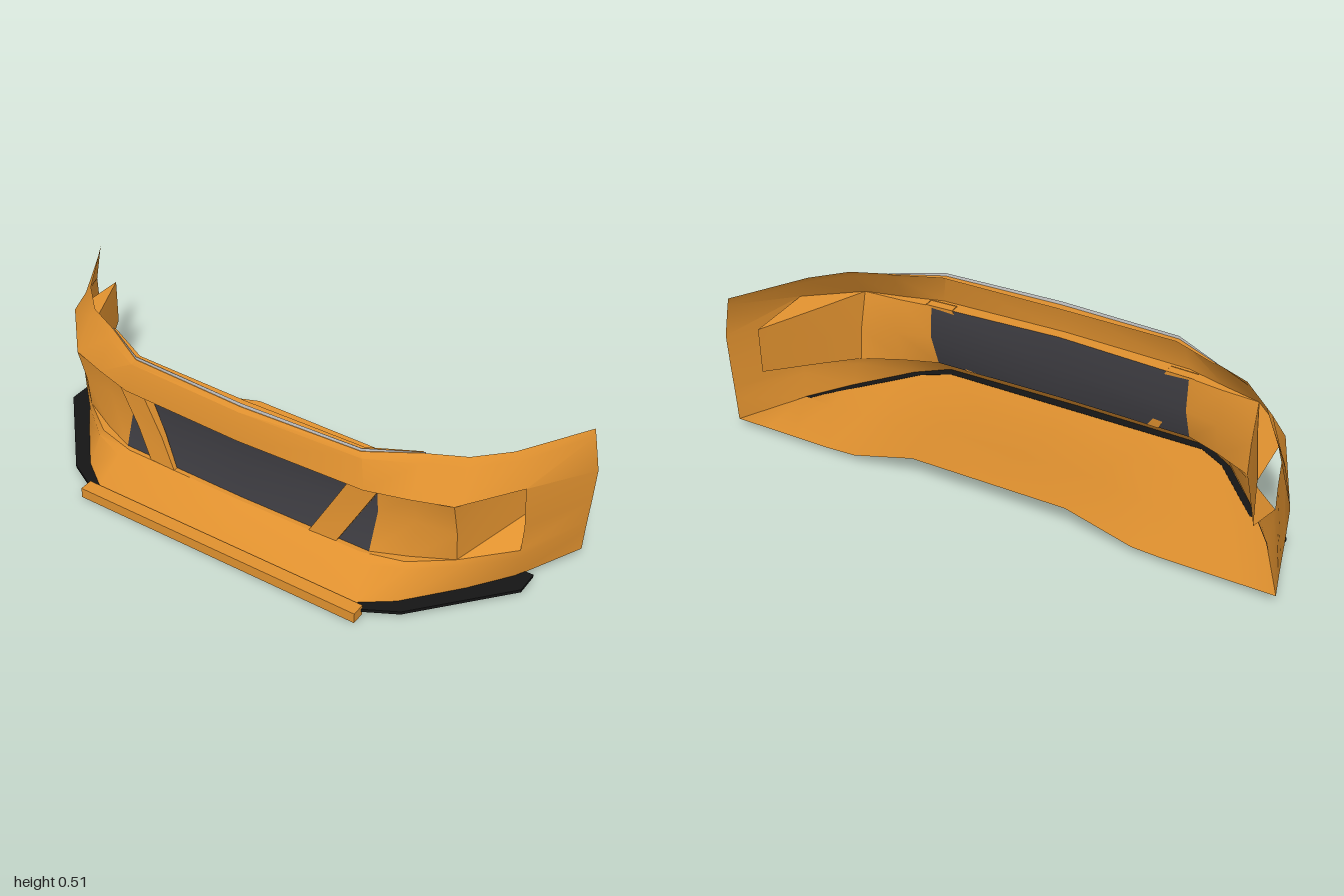
import * as THREE from 'three';
import { toCreasedNormals } from 'three/addons/utils/BufferGeometryUtils.js';

const paint = new THREE.MeshStandardMaterial({ color: 0xe0912f, side: THREE.DoubleSide });
const black = new THREE.MeshStandardMaterial({ color: 0x151515, side: THREE.DoubleSide });
const mesh = new THREE.MeshStandardMaterial({ color: 0x3d3c41, side: THREE.DoubleSide });
const grey = new THREE.MeshStandardMaterial({ color: 0xcccccc, side: THREE.DoubleSide });

const flip = (rows) => rows.map((r) => r.map(([x, y, z]) => [-x, y, z]));
// Half rows run from the centre line outwards; this adds the other half.
const both = (rows) => rows.map((r) => [...r.slice(1).reverse().map(([x, y, z]) => [-x, y, z]), ...r]);

// Surface through rows of points; keep(row, column) may leave openings.
function sheet(name, rows, material, keep = () => true) {
  const n = rows[0].length;
  const index = [];
  for (let r = 0; r < rows.length - 1; r++) {
    for (let c = 0; c < n - 1; c++) {
      if (!keep(r, c)) continue;
      const a = r * n + c;
      index.push(a, a + n, a + 1, a + 1, a + n, a + n + 1);
    }
  }
  const geo = new THREE.BufferGeometry();
  geo.setAttribute('position', new THREE.Float32BufferAttribute(rows.flat(2), 3));
  geo.setIndex(index);
  const m = new THREE.Mesh(toCreasedNormals(geo, 0.6), material);
  m.name = name;
  return m;
}

export function createModel() {
  const model = new THREE.Group();
  model.name = 'frontBumper';
  const add = (...parts) => model.add(...parts);
  const pair = (name, rows, material) => add(
    sheet(name + 'Left', rows, material), sheet(name + 'Right', flip(rows), material));

  // Outer shell, top to bottom, each row from the centre to the rear corner
  const shell = [
    [[0, 0.498, 0.165], [0.43, 0.5, 0.148], [0.6, 0.508, 0.055], [0.72, 0.511, 0], [0.82, 0.511, -0.1], [0.97, 0.511, -0.34]],
    [[0, 0.485, 0.178], [0.44, 0.485, 0.16], [0.6, 0.485, 0.08], [0.73, 0.485, 0.015], [0.84, 0.485, -0.095], [0.976, 0.485, -0.34]],
    [[0, 0.38, 0.19], [0.46, 0.38, 0.175], [0.6, 0.38, 0.135], [0.73, 0.385, 0.095], [0.88, 0.41, -0.075], [1, 0.36, -0.34]],
    [[0, 0.24, 0.18], [0.46, 0.24, 0.17], [0.6, 0.24, 0.13], [0.73, 0.24, 0.06], [0.88, 0.24, -0.1], [0.995, 0.24, -0.34]],
    [[0, 0.132, 0.182], [0.46, 0.132, 0.175], [0.6, 0.135, 0.14], [0.73, 0.138, 0.045], [0.878, 0.148, -0.095], [0.99, 0.15, -0.34]],
    [[0, 0.115, 0.212], [0.49, 0.115, 0.2], [0.61, 0.115, 0.15], [0.745, 0.115, 0.04], [0.876, 0.11, -0.095], [0.988, 0.11, -0.34]],
    [[0, 0.026, 0.29], [0.51, 0.026, 0.283], [0.615, 0.026, 0.205], [0.76, 0.024, 0.035], [0.865, 0.022, -0.11], [0.985, 0.03, -0.34]],
  ];
  add(sheet('shell', both(shell), paint, (r, c) => r < 2 || r > 3 || c === 0 || c === 9));

  // Recessed wall behind the front opening: mesh in the middle, paint beside it
  const recess = [
    [[0, 0.38, 0.15], [0.48, 0.38, 0.125], [0.6, 0.38, 0.11], [0.73, 0.385, 0.095]],
    [[0, 0.26, 0.14], [0.48, 0.26, 0.115], [0.6, 0.26, 0.085], [0.73, 0.25, 0.057]],
    [[0, 0.132, 0.165], [0.48, 0.132, 0.158], [0.6, 0.135, 0.11], [0.73, 0.138, 0.045]],
  ];
  add(sheet('grille', both(recess.map((r) => r.slice(0, 2))), mesh));
  pair('recessWall', recess.map((r) => r.slice(1)), paint);
  // Ledges joining the opening's rims to the recessed wall
  add(sheet('upperLedge', both([shell[2].slice(0, 4), recess[0]]), paint));
  add(sheet('lowerLedge', both([recess[2], shell[4].slice(0, 4)]), paint));

  // Slanted pillars across the opening, deeper towards the top
  const pillar = [[0.4, 0.382, 0.162, 0.035], [0.325, 0.24, 0.165, 0.024], [0.267, 0.13, 0.179, 0.016]].map(
    ([x, y, z, d]) => [[0, 0], [0.1, -0.004], [0.1, -0.004 - d], [0, -d], [0, 0]].map(([dx, dz]) => [x + dx, y, z + dz]));
  pair('pillar', pillar, paint);

  // Side duct: inner panel running back, with narrow ledges above and below
  const duct = [
    [[0.73, 0.385, 0.095], [0.79, 0.392, -0.07], [0.885, 0.4, -0.31]],
    [[0.73, 0.25, 0.057], [0.79, 0.27, -0.08], [0.885, 0.31, -0.31]],
    [[0.73, 0.138, 0.045], [0.79, 0.176, -0.09], [0.885, 0.235, -0.31]],
  ];
  pair('ductPanel', duct, paint);
  pair('ductTop', [duct[0], [shell[2][3], [0.805, 0.3975, 0.01], shell[2][4]]], paint);
  pair('ductBottom', [duct[2], [shell[4][3], [0.804, 0.143, -0.025], shell[4][4]]], paint);

  // Floor, rising along the middle towards its rear edge
  const columns = [[0, 0.29, 0.1], [0.28, 0.287, 0.1], [0.51, 0.283, 0.035], [0.615, 0.205, 0.03],
    [0.76, 0.035, 0.03], [0.865, -0.11, 0.03], [0.985, -0.34, 0.03]];
  const floorY = (z, y, t) => (z < -0.3 ? y : 0.025 + (y - 0.025) * t);
  add(sheet('floor', both([[0.3, 0], [0.1, 0], [-0.12, 0.65], [-0.34, 1]].map(
    ([limit, t]) => columns.map(([x, z, y]) => [x, floorY(z, y, t), Math.min(z, limit)]))), paint));

  // Inward flange and thin trim along the top edge
  const rim = shell[0].slice(0, 3);
  add(sheet('topFlange', both([
    rim, [[0, 0.5, 0.132], [0.43, 0.502, 0.125], [0.59, 0.508, 0.05]]]), paint));
  add(sheet('topTrim', both([rim.map(([x, , z]) => [x, 0.511, z - 0.002]),
    rim.map(([x, y, z]) => [x, y - 0.002, z - 0.002])]), grey));

  // Splitter blade following the lower lip
  const half = [[0.54, 0.3], [0.65, 0.24], [0.912, -0.06], [0.912, -0.144],
    [0.868, -0.144], [0.82, -0.07], [0.585, 0.2], [0.49, 0.255]];
  const ring = [...half, ...half.slice().reverse().map(([x, z]) => [-x, z])];
  const blade = new THREE.ExtrudeGeometry(
    new THREE.Shape(ring.map(([x, z]) => new THREE.Vector2(x, -z))), { depth: 0.011, bevelEnabled: false });
  blade.rotateX(-Math.PI / 2).translate(0, 0.015, 0);
  const splitter = new THREE.Mesh(blade, black);
  splitter.name = 'splitter';

  // Straight bar at the very front
  const bar = new THREE.Mesh(new THREE.BoxGeometry(1.085, 0.038, 0.048), paint);
  bar.name = 'frontBar';
  bar.position.set(0, 0.019, 0.316);
  add(splitter, bar);
  return model;
}
